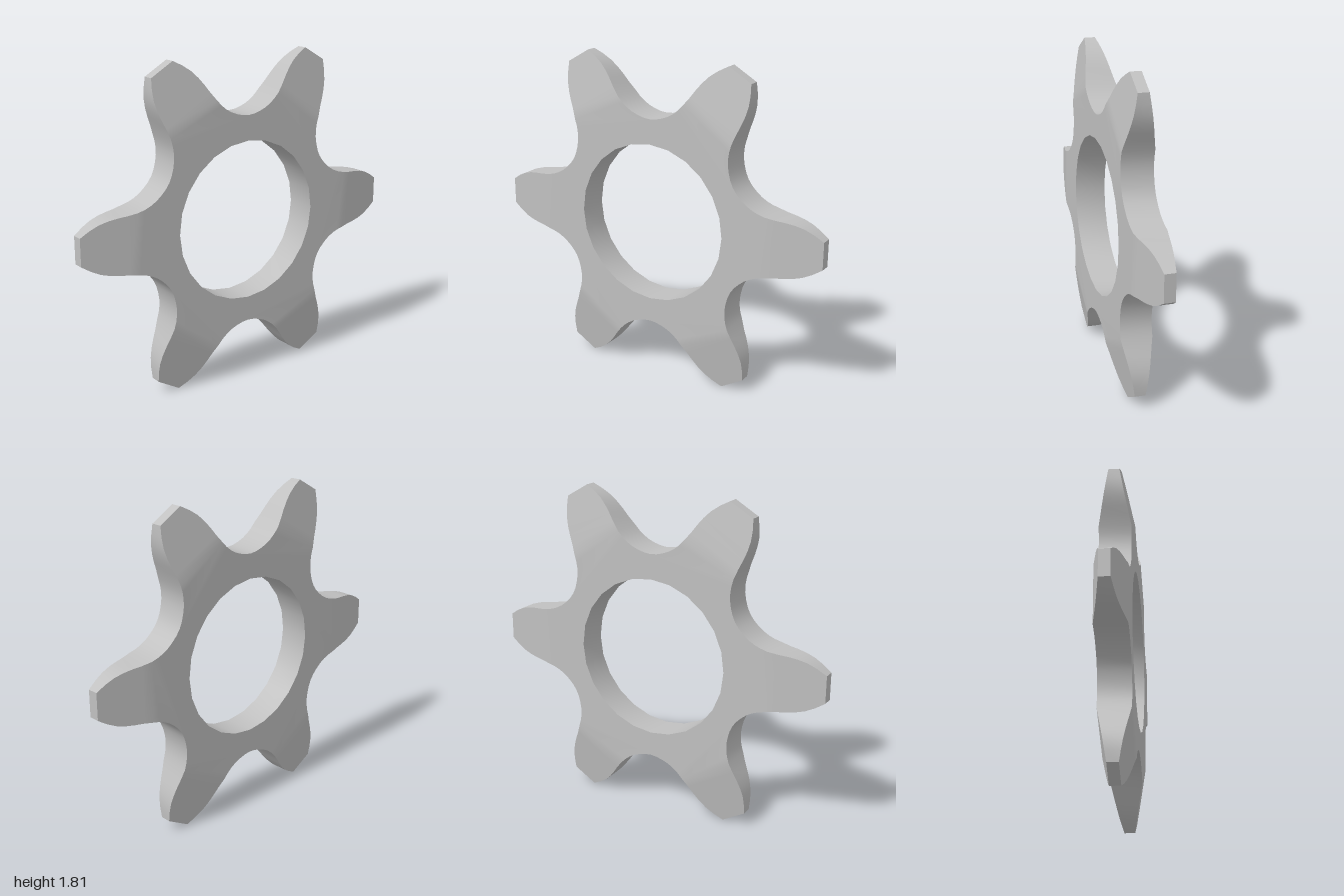
import * as THREE from 'three';
import { mergeVertices } from 'three/addons/utils/BufferGeometryUtils.js';

const TEETH = 6, HALF = 0.0875, TIP_HALF = 0.03, BEND = 0.695, HOLE_R = 0.447, CENTRE_Y = 0.9035;

// half of one tooth outline: [distance from axis, half width], tip to valley
const PROFILE = [
  [1, 0.075], [0.95, 0.107], [0.9, 0.131], [0.85, 0.145], [0.8, 0.153], [0.75, 0.158],
  [BEND, 0.167], [0.655, 0.177], [0.622, 0.19], [0.588, 0.209], [0.557, 0.234], [0.529, 0.262],
];
const VALLEY = [0.507, 0.2925];
const BEND_INDEX = 6;

// half thickness: flat body, teeth thinning towards the tip
const thick = (r) => r <= BEND ? HALF : THREE.MathUtils.lerp(HALF, TIP_HALF, (r - BEND) / (1 - BEND));

// point of tooth k as { u, v, t }
function toothPoint(k, [r, w], side) {
  const a = k * 2 * Math.PI / TEETH, c = Math.cos(a), s = Math.sin(a);
  return { u: r * c - side * w * s, v: r * s + side * w * c, t: thick(r) };
}

const at = (p, side) => [p.u, p.v, side * p.t];
const quad = (out, a, b, c, d) => out.push(...a, ...b, ...c, ...a, ...c, ...d);

// wall across the thickness along a path of points
function addWall(out, path) {
  for (let i = 0; i + 1 < path.length; i++) {
    const p = path[i], q = path[i + 1];
    quad(out, at(p, -1), at(q, -1), at(q, 1), at(p, 1));
  }
}

function smoothGeometry(positions) {
  let g = new THREE.BufferGeometry();
  g.setAttribute('position', new THREE.Float32BufferAttribute(positions, 3));
  g = mergeVertices(g, 1e-5);
  g.computeVertexNormals();
  return g.rotateY(Math.PI / 2);
}

export function createModel() {
  const group = new THREE.Group();
  group.name = 'sprocket';
  const steel = new THREE.MeshStandardMaterial({ color: 0xc0c0c0 });
  steel.name = 'grey steel';
  const add = (name, positions) => {
    const mesh = new THREE.Mesh(smoothGeometry(positions), steel);
    mesh.name = name;
    mesh.position.y = CENTRE_Y;
    group.add(mesh);
  };

  const core = [], walls = [], tips = [];
  const faces = { 1: [], [-1]: [] };
  for (let k = 0; k < TEETH; k++) {
    // curved flank from this tooth tip through the valley to the next tip
    const path = [
      ...PROFILE.map((p) => toothPoint(k, p, 1)),
      toothPoint(k, VALLEY, 1),
      ...[...PROFILE].reverse().map((p) => toothPoint(k + 1, p, -1)),
    ];
    addWall(walls, path);
    core.push(...path.slice(BEND_INDEX, path.length - BEND_INDEX));

    // blunt tooth tip
    addWall(tips, [toothPoint(k, PROFILE[0], -1), toothPoint(k, PROFILE[0], 1)]);

    // sloping tooth sides
    for (let i = 0; i < BEND_INDEX; i++) {
      const [o, n] = [PROFILE[i], PROFILE[i + 1]];
      const c = [toothPoint(k, n, -1), toothPoint(k, o, -1), toothPoint(k, o, 1), toothPoint(k, n, 1)];
      quad(faces[1], ...c.map((p) => at(p, 1)));
      quad(faces[-1], ...c.reverse().map((p) => at(p, -1)));
    }
  }

  // flat body faces with the round bore cut out
  const ring = [];
  for (let i = 0; i <= 24; i++) {
    const a = -i * Math.PI / 12;
    ring.push({ u: HOLE_R * Math.cos(a), v: HOLE_R * Math.sin(a), t: HALF });
  }
  const shape = new THREE.Shape(core.map((p) => new THREE.Vector2(p.u, p.v)));
  shape.holes.push(new THREE.Path(ring.slice(0, 24).map((p) => new THREE.Vector2(p.u, p.v))));
  const cap = new THREE.ShapeGeometry(shape).toNonIndexed().attributes.position;
  for (let i = 0; i < cap.count; i += 3) {
    for (const j of [0, 1, 2]) {
      faces[1].push(cap.getX(i + j), cap.getY(i + j), HALF);
      faces[-1].push(cap.getX(i + 2 - j), cap.getY(i + 2 - j), -HALF);
    }
  }

  const bore = [];
  addWall(bore, ring);

  add('leftFace', faces[1]);
  add('rightFace', faces[-1]);
  add('toothFlanks', walls);
  add('toothTips', tips);
  add('bore', bore);
  return group;
}
